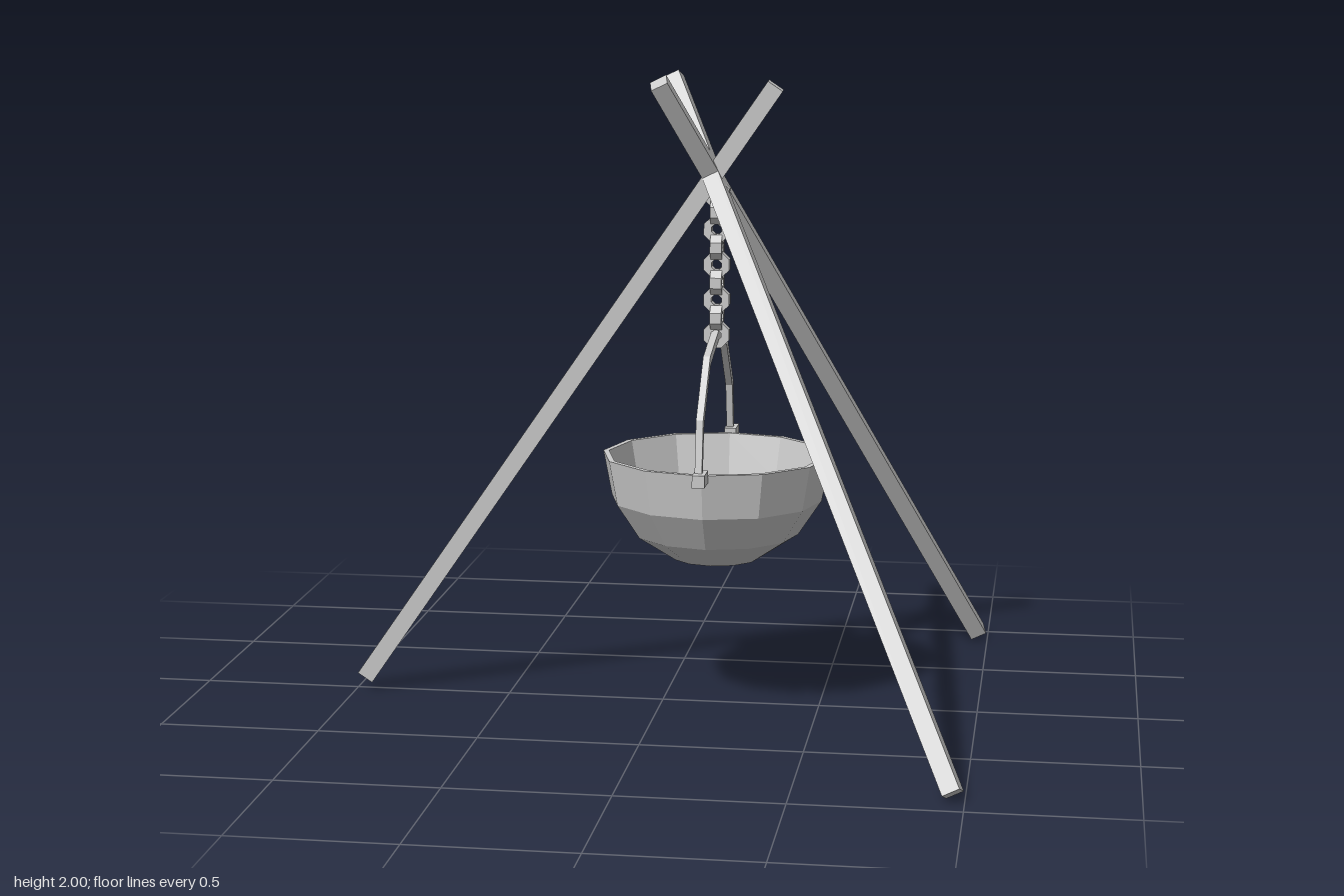
import * as THREE from 'three';

const grey = new THREE.MeshStandardMaterial({ color: 0xcccccc, flatShading: true });
const CX = 0.17; // axis of the hanging pot

function add(parent, name, geometry) {
  const mesh = new THREE.Mesh(geometry, grey);
  mesh.name = name;
  parent.add(mesh);
  return mesh;
}

// Square pole between two points, with its side faces parallel to z
function pole(parent, name, a, b, roll = 0) {
  const from = new THREE.Vector3(...a), to = new THREE.Vector3(...b);
  const axis = to.clone().sub(from);
  const geometry = new THREE.BoxGeometry(0.055, axis.length(), 0.055).rotateY(roll);
  axis.normalize();
  const side = axis.clone().cross(new THREE.Vector3(0, 0, 1)).normalize();
  const mesh = add(parent, name, geometry);
  mesh.quaternion.setFromRotationMatrix(
    new THREE.Matrix4().makeBasis(side, axis, side.clone().cross(axis)));
  mesh.position.copy(from).add(to).multiplyScalar(0.5);
}

export function createModel() {
  const model = new THREE.Group();
  model.name = 'campfirePotTripod';

  // Tripod
  pole(model, 'sidePole', [-0.972, 0.045, 0], [0.35, 1.965, 0], 0.06);
  pole(model, 'frontPole', [0.966, 0.028, 0.91], [0.01, 1.98, -0.158]);
  pole(model, 'backPole', [0.966, 0.028, -0.91], [0.01, 1.98, 0.158]);

  // Pot: outer wall up to the rim, then down the inside
  const profile = [
    [0, 0.48], [0.138, 0.48], [0.26, 0.56], [0.333, 0.67], [0.36, 0.812],
    [0.342, 0.812], [0.315, 0.676], [0.248, 0.574], [0.132, 0.498], [0, 0.498],
  ].map(([r, y]) => new THREE.Vector2(r, y));
  add(model, 'pot', new THREE.LatheGeometry(profile, 12)).position.x = CX;

  // Lugs on the rim
  for (const s of [-1, 1]) {
    add(model, 'potLug', new THREE.BoxGeometry(0.038, 0.038, 0.085))
      .position.set(CX, 0.808, s * 0.39);
  }

  // Bail handle: half outlines mirrored across the middle
  const outer = [[0.402, 0.81], [0.37, 0.985], [0.21, 1.153], [0, 1.205]];
  const inner = [[0.38, 0.81], [0.345, 0.97], [0.198, 1.126], [0, 1.175]];
  const arch = (half) => [...half, ...half.slice(0, -1).reverse().map(([u, v]) => [-u, v])];
  const outline = [...arch(outer), ...arch(inner).reverse()];
  const shape = new THREE.Shape(outline.map(([u, v]) => new THREE.Vector2(u, v)));
  const handle = new THREE.ExtrudeGeometry(shape, { depth: 0.022, bevelEnabled: false });
  handle.translate(0, 0, -0.011).rotateY(Math.PI / 2);
  add(model, 'handle', handle).position.x = CX - 0.004;

  // Chain of eight-sided links, alternately turned by a quarter
  const section = [[0.017, -0.018], [0.043, -0.018], [0.043, 0.018], [0.017, 0.018], [0.017, -0.018]]
    .map(([r, y]) => new THREE.Vector2(r, y));
  const link = new THREE.LatheGeometry(section, 8, Math.PI / 8).rotateX(Math.PI / 2);
  const chain = new THREE.Group();
  chain.name = 'chain';
  model.add(chain);
  for (let i = 0; i < 9; i++) {
    const mesh = add(chain, 'chainLink', link);
    mesh.position.set(CX, 1.19 + i * 0.055, 0);
    mesh.rotation.y = (i % 2) * Math.PI / 2;
  }
  return model;
}
